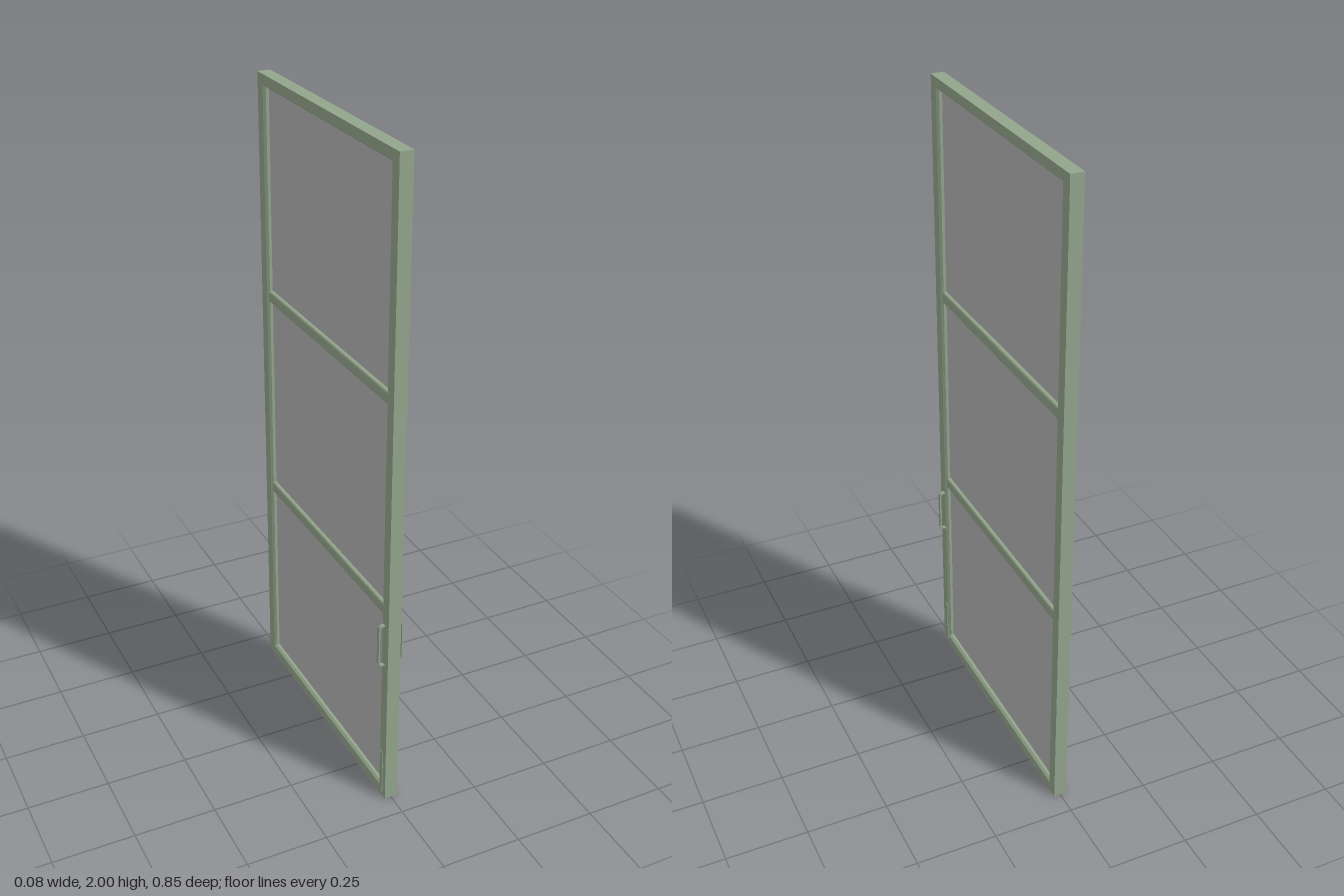
import * as THREE from 'three';

const mat = (name, color, extra = {}) => {
  const m = new THREE.MeshStandardMaterial({ color, ...extra });
  m.name = name;
  return m;
};

// Sweep a profile of [inset, x] points round a rectangle, with mitred corners
function mitredFrame(profile, halfZ, height, insetY) {
  const corners = [[-1, 0], [1, 0], [1, 1], [-1, 1]];
  const at = ([inset, x], [sz, top]) => [
    x,
    top ? height - inset * insetY : inset * insetY,
    sz * (halfZ - inset),
  ];
  const pos = [];
  corners.forEach((c, i) => {
    const d = corners[(i + 1) % 4];
    profile.forEach((p, j) => {
      const q = profile[(j + 1) % profile.length];
      const [a, b, e, f] = [at(p, c), at(p, d), at(q, d), at(q, c)];
      pos.push(...a, ...e, ...b, ...a, ...f, ...e);
    });
  });
  const g = new THREE.BufferGeometry();
  g.setAttribute('position', new THREE.Float32BufferAttribute(pos, 3));
  g.computeVertexNormals();
  return g;
}

export function createModel() {
  const green = mat('sage paint', 0x93a58c, { side: THREE.DoubleSide });
  const grey = mat('grey glass', 0xb2b2b2);
  const door = new THREE.Group();
  door.name = 'door';

  const add = (name, geometry, material, x, y, z) => {
    const mesh = new THREE.Mesh(geometry, material);
    mesh.name = name;
    mesh.position.set(x, y, z);
    door.add(mesh);
    return mesh;
  };

  // Outer frame with chamfered inner edges
  const profile = [[0, -0.02], [0, 0.02], [0.035, 0.02], [0.042, 0.013], [0.042, -0.013], [0.035, -0.02]];
  add('outerFrame', mitredFrame(profile, 0.427, 2, 0.86), green, 0, 0, 0);

  // Glazing bars with rounded edges
  const bar = new THREE.Shape();
  const w = 0.016, h = 0.019, r = 0.009;
  bar.moveTo(-w + r, -h);
  bar.lineTo(w - r, -h);
  bar.quadraticCurveTo(w, -h, w, -h + r);
  bar.lineTo(w, h - r);
  bar.quadraticCurveTo(w, h, w - r, h);
  bar.lineTo(-w + r, h);
  bar.quadraticCurveTo(-w, h, -w, h - r);
  bar.lineTo(-w, -h + r);
  bar.quadraticCurveTo(-w, -h, -w + r, -h);
  const barGeometry = new THREE.ExtrudeGeometry(bar, { depth: 0.79, bevelEnabled: false, curveSegments: 4 });
  for (const y of [0.662, 1.326]) add('glazingBar', barGeometry, green, 0, y, -0.395);

  // Three panes of glass
  for (const [low, high] of [[0.03, 0.65], [0.67, 1.315], [1.335, 1.975]]) {
    add('pane', new THREE.BoxGeometry(0.008, high - low, 0.78), grey, 0, (low + high) / 2, 0);
  }

  // Thin pull handle: a rounded strap standing off the stile
  const strap = new THREE.Shape();
  const outline = (t) => {
    const x = 0.039 - t, y = 0.07 - t, c = 0.016 - t;
    return [[0.018, -y], [x - c, -y], [x, -y + c], [x, y - c], [x - c, y], [0.018, y]];
  };
  const outer = outline(0), inner = outline(0.004).reverse();
  strap.moveTo(...outer[0]);
  strap.lineTo(...outer[1]);
  strap.quadraticCurveTo(0.039, -0.07, ...outer[2]);
  strap.lineTo(...outer[3]);
  strap.quadraticCurveTo(0.039, 0.07, ...outer[4]);
  strap.lineTo(...outer[5]);
  strap.lineTo(...inner[0]);
  strap.lineTo(...inner[1]);
  strap.quadraticCurveTo(0.035, 0.066, ...inner[2]);
  strap.lineTo(...inner[3]);
  strap.quadraticCurveTo(0.035, -0.066, ...inner[4]);
  strap.lineTo(...inner[5]);
  const strapGeometry = new THREE.ExtrudeGeometry(strap, { depth: 0.012, bevelEnabled: false, curveSegments: 5 });

  // Handle and lower lock plate on both faces
  for (const side of [1, -1]) {
    const handle = add('handle', strapGeometry, green, 0, 0.55, 0.4 - side * 0.006);
    handle.rotation.y = side > 0 ? 0 : Math.PI;
    add('lockPlate', new THREE.BoxGeometry(0.003, 0.15, 0.016), green, side * 0.0205, 0.088, 0.402);
  }

  return door;
}
